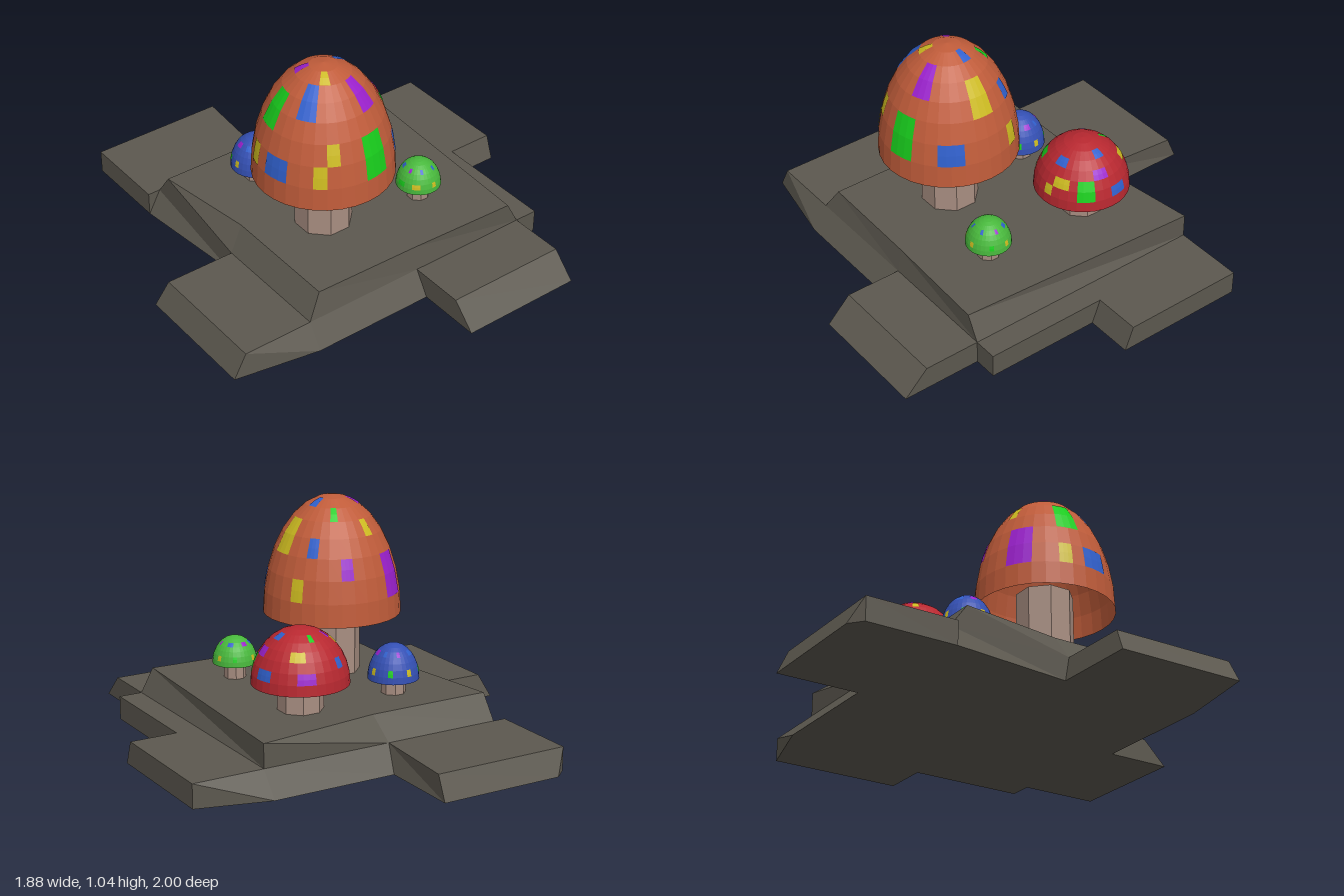
import * as THREE from 'three';

const COLORS = { yellow: 0xccba20, blue: 0x3060cc, green: 0x18cc1c, purple: 0x9a20cc };
const STEP = Math.PI / 16; // one cap cell, 11.25 degrees

function part(name, geometry, color, side = THREE.FrontSide) {
  const mesh = new THREE.Mesh(geometry, new THREE.MeshStandardMaterial({ color, flatShading: true, side }));
  mesh.name = name;
  return mesh;
}

// Slab between two outlines; each row is [bottomX, bottomZ, topX, topZ], clockwise from above
function slab(name, rows, y0, y1) {
  const low = rows.map(r => new THREE.Vector2(r[0], r[1]));
  const high = rows.map(r => new THREE.Vector2(r[2], r[3]));
  const pos = [];
  const add = (p, y) => pos.push(p.x, y, p.y);
  rows.forEach((_, i) => {
    const j = (i + 1) % rows.length;
    add(low[i], y0); add(high[i], y1); add(high[j], y1);
    add(low[i], y0); add(high[j], y1); add(low[j], y0);
  });
  const cap = (pts, y, up) => {
    for (const [a, b, c] of THREE.ShapeUtils.triangulateShape(pts, [])) {
      const turn = pts[b].clone().sub(pts[a]).cross(pts[c].clone().sub(pts[a]));
      const order = (turn < 0) === up ? [a, b, c] : [a, c, b];
      order.forEach(k => add(pts[k], y));
    }
  };
  cap(low, y0, false);
  cap(high, y1, true);
  const g = new THREE.BufferGeometry();
  g.setAttribute('position', new THREE.Float32BufferAttribute(pos, 3));
  g.computeVertexNormals();
  return part(name, g, 0x5c584f);
}

// Part of a dome: columns run from the front (+z) towards +x, rows from the rim up
function domePatch(col, cols, row, rows) {
  return new THREE.SphereGeometry(1, cols, rows, Math.PI / 2 + col * STEP, cols * STEP,
    Math.PI / 2 - (row + rows) * STEP, rows * STEP);
}

// Spots are [colour, column, columns, row, rows]
function mushroom({ name, x, z, rim, r, h, stem, color, spots }) {
  const group = new THREE.Group();
  group.name = name;
  group.position.set(x, 0, z);
  const top = rim + h * 0.15;
  const leg = part('stem', new THREE.CylinderGeometry(stem, stem, top - 0.21, 8), 0xa98f82);
  leg.rotation.y = Math.PI / 8;
  leg.position.y = (top + 0.21) / 2;
  group.add(leg);
  const cap = part('cap', domePatch(0, 32, 0, 8), color, THREE.DoubleSide);
  cap.scale.set(r, h, r);
  cap.position.y = rim;
  group.add(cap);
  for (const [c, col, cols, row, rows] of spots) {
    const spot = part('capSpot', domePatch(col, cols, row, rows), COLORS[c]);
    spot.scale.set(r, h, r).multiplyScalar(1.004);
    spot.position.y = rim;
    group.add(spot);
  }
  return group;
}

// Evenly scattered small spots
function scatter(seed, count) {
  const rand = () => (seed = (seed * 16807) % 2147483647) / 2147483647;
  const names = Object.keys(COLORS);
  return Array.from({ length: count }, (_, i) =>
    [names[i % 4], Math.floor((i + rand() * 0.6) * 32 / count), 1 + Math.floor(rand() * 2), 1 + (i * 3) % 6, 1]);
}

export function createModel() {
  const model = new THREE.Group();
  model.name = 'mushroomRock';

  // Lower rock tier with four ledges
  model.add(slab('lowerRock', [
    [-0.55, -1, -0.61, -0.95], [0.03, -1, 0.03, -0.95], [0.03, -0.62, 0, -0.53],
    [0.61, -0.62, 0.61, -0.53], [0.94, -0.53, 0.94, -0.53], [0.94, 0.09, 0.94, 0.05],
    [0.72, 0.09, 0.72, 0.05], [0.72, 0.63, 0.72, 0.63], [0.61, 0.63, 0.61, 0.63],
    [0.61, 1, 0.61, 0.89], [0.03, 1, 0.03, 0.89], [0.03, 0.7, 0.03, 0.63],
    [-0.55, 0.7, -0.55, 0.63], [-0.94, 0.63, -0.88, 0.63], [-0.94, 0.03, -0.88, 0.05],
    [-0.55, 0.03, -0.55, 0.05], [-0.61, -0.53, -0.55, -0.53], [-0.61, -0.53, -0.61, -0.53],
    [-0.61, -0.95, -0.61, -0.95],
  ], 0, 0.11));

  // Upper rock tier
  model.add(slab('upperRock', [
    [-0.55, -0.53, -0.55, -0.45], [0, -0.53, 0.03, -0.45], [0.61, -0.53, 0.61, -0.53],
    [0.61, 0.63, 0.55, 0.63], [0.03, 0.63, 0.03, 0.61], [-0.55, 0.63, -0.48, 0.6],
    [-0.55, 0.05, -0.48, 0.03],
  ], 0.11, 0.22));

  model.add(mushroom({
    name: 'tallMushroom', x: -0.16, z: 0.205, rim: 0.5, r: 0.315, h: 0.54, stem: 0.13, color: 0xc05c3a,
    spots: [
      ['green', 0, 2, 1, 2], ['yellow', -3, 1, 2, 1], ['yellow', -4, 1, 1, 1], ['blue', -6, 2, 4, 2],
      ['purple', 1, 2, 4, 2], ['blue', 4, 2, 1, 1], ['blue', -8, 2, 1, 1], ['yellow', 7, 2, 3, 2],
      ['yellow', 10, 1, 1, 1], ['blue', 11, 1, 3, 1], ['purple', 14, 1, 2, 1], ['green', 13, 1, 5, 1],
      ['purple', 18, 2, 1, 2], ['green', 22, 2, 3, 2], ['yellow', 17, 1, 4, 1], ['yellow', 22, 1, 1, 1],
      ['yellow', -4, 2, 6, 1], ['blue', 8, 2, 6, 1], ['purple', 20, 2, 6, 1],
    ],
  }));

  model.add(mushroom({
    name: 'redMushroom', x: 0.255, z: -0.22, rim: 0.34, r: 0.216, h: 0.25, stem: 0.102, color: 0xb82830,
    spots: [
      ['green', 4, 2, 1, 2], ['blue', 8, 2, 1, 1], ['purple', 13, 2, 1, 1], ['yellow', 1, 2, 2, 1],
      ['yellow', 0, 1, 1, 1], ['blue', 0, 2, 4, 1], ['blue', 7, 2, 5, 1], ['green', -5, 2, 3, 1],
      ['yellow', -5, 1, 1, 1], ['yellow', 12, 2, 3, 1], ['yellow', -11, 1, 4, 1], ['purple', 6, 2, 3, 1],
      ['purple', -9, 2, 2, 1], ['green', 15, 1, 5, 1], ['blue', 18, 1, 2, 1], ['purple', 20, 1, 5, 1],
    ],
  }));

  model.add(mushroom({
    name: 'greenMushroom', x: 0.283, z: 0.322, rim: 0.29, r: 0.102, h: 0.125, stem: 0.05, color: 0x48b83c,
    spots: scatter(11, 14),
  }));

  model.add(mushroom({
    name: 'blueMushroom', x: -0.212, z: -0.235, rim: 0.287, r: 0.115, h: 0.16, stem: 0.055, color: 0x3450b4,
    spots: scatter(29, 16),
  }));

  return model;
}
